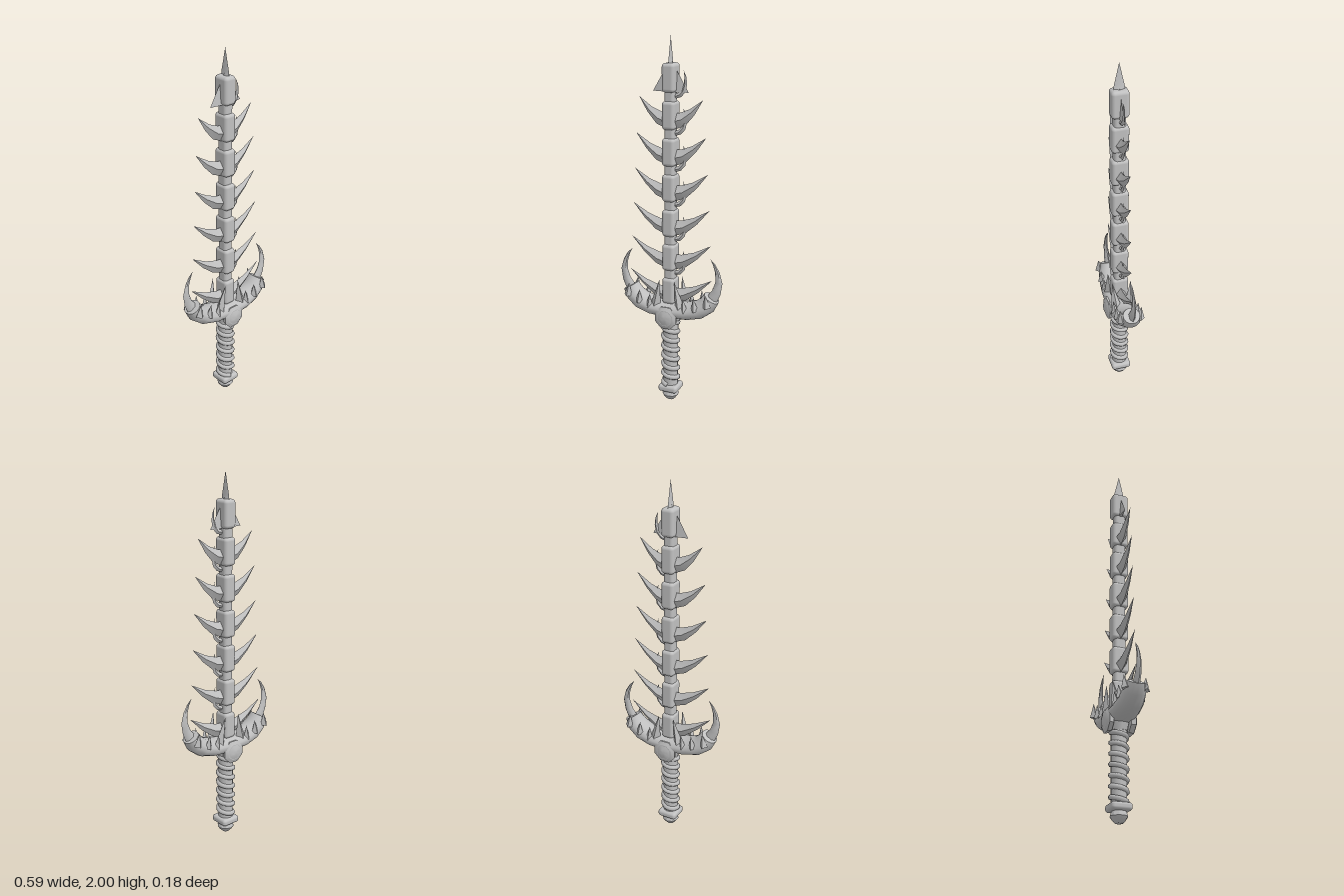
import * as THREE from 'three';
import { toCreasedNormals } from 'three/addons/utils/BufferGeometryUtils.js';
import { RoundedBoxGeometry } from 'three/addons/geometries/RoundedBoxGeometry.js';

const bone = new THREE.MeshStandardMaterial({ color: 0xc0c0c0 });
bone.name = 'bone grey';

// Sweeps an elliptical or diamond section along stations [x, y, half width, half depth]
function loft(stations, sides, crease = 0.5) {
  const rings = stations.map(([x, y, w, d], i) => {
    const a = stations[Math.max(i - 1, 0)];
    const b = stations[Math.min(i + 1, stations.length - 1)];
    const t = new THREE.Vector2(b[0] - a[0], b[1] - a[1]).normalize();
    return Array.from({ length: sides }, (_, j) => {
      const q = (j / sides) * Math.PI * 2;
      const c = Math.cos(q) * w;
      return [x - t.y * c, y + t.x * c, Math.sin(q) * d];
    });
  });
  const pos = [];
  const tri = (...p) => p.forEach((v) => pos.push(...v));
  const last = rings.length - 1;
  const centre = (i) => [stations[i][0], stations[i][1], 0];
  for (let j = 0; j < sides; j++) {
    const k = (j + 1) % sides;
    for (let i = 0; i < last; i++) {
      const [a, b, c, d] = [rings[i][j], rings[i][k], rings[i + 1][k], rings[i + 1][j]];
      tri(a, b, c);
      if (stations[i + 1][2] > 0) tri(a, c, d);
    }
    tri(centre(0), rings[0][k], rings[0][j]);
    if (stations[last][2] > 0) tri(centre(last), rings[last][j], rings[last][k]);
  }
  const g = new THREE.BufferGeometry();
  g.setAttribute('position', new THREE.Float32BufferAttribute(pos, 3));
  return toCreasedNormals(g, crease);
}

export function createModel() {
  const model = new THREE.Group();
  model.name = 'boneSword';
  const add = (name, geo, x = 0, y = 0, z = 0) => {
    const m = new THREE.Mesh(geo, bone);
    m.name = name;
    m.position.set(x, y, z);
    model.add(m);
    return m;
  };
  const flip = (stations, s) => stations.map(([x, ...r]) => [x * s, ...r]);

  // Blade: a core carrying seven rounded vertebrae
  add('bladeCore', new RoundedBoxGeometry(0.054, 1.24, 0.062, 3, 0.016), 0, 1.18, 0);
  const tips = [0.24, 0.229, 0.218, 0.207, 0.196, 0.177];
  for (let i = 0; i < 7; i++) {
    const b = 0.585 + 0.189 * i;
    add('vertebra', new RoundedBoxGeometry(0.07, 0.145, 0.09, 4, 0.018), 0, b + 0.0725, 0);
    // Curved side spikes
    if (i < 6) {
      for (const s of [-1, 1]) {
        const t = tips[i];
        add('sideSpike', loft(flip([
          [0.015, b + 0.042, 0.043, 0.03],
          [0.03 + t * 0.2, b + 0.055, 0.035, 0.021],
          [0.02 + t * 0.55, b + 0.094, 0.019, 0.013],
          [t, b + 0.158, 0, 0],
        ], s), 4));
      }
    }
    // Small hook on the left edge
    if (i > 0) {
      add('edgeHook', loft([
        [0.025, b - 0.02, 0.012, 0.009],
        [0.05, b - 0.012, 0.013, 0.009],
        [0.071, b + 0.01, 0.012, 0.008],
        [0.081, b + 0.045, 0.009, 0.006],
        [0.08, b + 0.08, 0.005, 0.004],
        [0.07, b + 0.112, 0, 0],
      ], 4, 0.8));
    }
  }

  // Barbed head and thin point
  add('headBarb', loft([[0, 1.72, 0.098, 0.013], [0, 1.885, 0, 0]], 4));
  add('bladePoint', loft([
    [0, 1.85, 0.015, 0.031], [0, 1.885, 0.002, 0.026], [0, 2, 0, 0],
  ], 4));

  // Crescent guard
  const half = [
    [0.238, 0.645, 0.045, 0.046], [0.212, 0.602, 0.05, 0.06],
    [0.17, 0.57, 0.05, 0.067], [0.1, 0.55, 0.047, 0.074],
  ];
  add('guard', loft([
    ...flip(half, -1), [0, 0.545, 0.045, 0.078], ...half.slice().reverse(),
  ], 14, 0.8));

  for (const s of [-1, 1]) {
    // Curling horns at the guard ends
    add('guardHorn', loft(flip([
      [0.235, 0.63, 0.032, 0.017], [0.264, 0.68, 0.025, 0.014],
      [0.277, 0.735, 0.02, 0.011], [0.268, 0.79, 0.013, 0.008],
      [0.25, 0.83, 0.007, 0.005], [0.228, 0.86, 0, 0],
    ], s), 6, 0.8));
    for (const f of [-1, 1]) {
      // Teeth along both rims: [x, y, z, radius, height, inward lean]
      for (const [x, y, z, r, h, lean] of [
        [0.226, 0.625, 0.055, 0.024, 0.075, 0.12],
        [0.16, 0.597, 0.058, 0.023, 0.075, 0.1],
        [0.1, 0.58, 0.057, 0.022, 0.08, 0.1],
        [0.057, 0.61, 0.045, 0.029, 0.15, 0.18],
      ]) {
        const tooth = add('guardTooth',
          new THREE.ConeGeometry(r, h, 4).toNonIndexed(), x * s, y + h * 0.25, z * f);
        tooth.geometry.computeVertexNormals();
        tooth.rotation.set(f * 0.1, 0, s * lean);
      }
    }
  }

  // Faceted medallion on each face
  for (const f of [-1, 1]) {
    const disc = (name, r1, r0, depth, z) => {
      const g = new THREE.CylinderGeometry(r1, r0, depth, 8).rotateY(Math.PI / 8).rotateX(Math.PI / 2);
      const m = add(name, toCreasedNormals(g, 0.4), 0, 0.515, z * f);
      if (f < 0) m.rotation.y = Math.PI;
    };
    disc('medallionBase', 0.067, 0.06, 0.025, 0.058);
    disc('medallionRim', 0.046, 0.067, 0.01, 0.0755);
    disc('medallionCentre', 0.018, 0.042, 0.008, 0.0845);
  }

  // Grip with spiral wrap
  add('grip', new THREE.CylinderGeometry(0.042, 0.04, 0.44, 12), 0, 0.3, 0);
  const turns = 7;
  const coil = Array.from({ length: turns * 12 + 1 }, (_, i) => {
    const a = (i / 12) * Math.PI * 2;
    return new THREE.Vector3(0.04 * Math.sin(a), 0.485 - 0.385 * (i / (turns * 12)), 0.04 * Math.cos(a));
  });
  add('gripWrap', new THREE.TubeGeometry(new THREE.CatmullRomCurve3(coil), turns * 16, 0.014, 6));
  add('gripCollar', new THREE.CylinderGeometry(0.055, 0.046, 0.04, 8), 0, 0.485, 0);

  // Squared pommel ring and rounded end
  add('pommelRing', new RoundedBoxGeometry(0.11, 0.04, 0.11, 3, 0.016), 0, 0.08, 0);
  const profile = [[0, 0], [0.02, 0.004], [0.034, 0.018], [0.046, 0.036], [0.042, 0.05], [0.036, 0.065]]
    .map(([x, y]) => new THREE.Vector2(x, y));
  add('pommelEnd', toCreasedNormals(new THREE.LatheGeometry(profile, 10), 0.6));
  return model;
}
